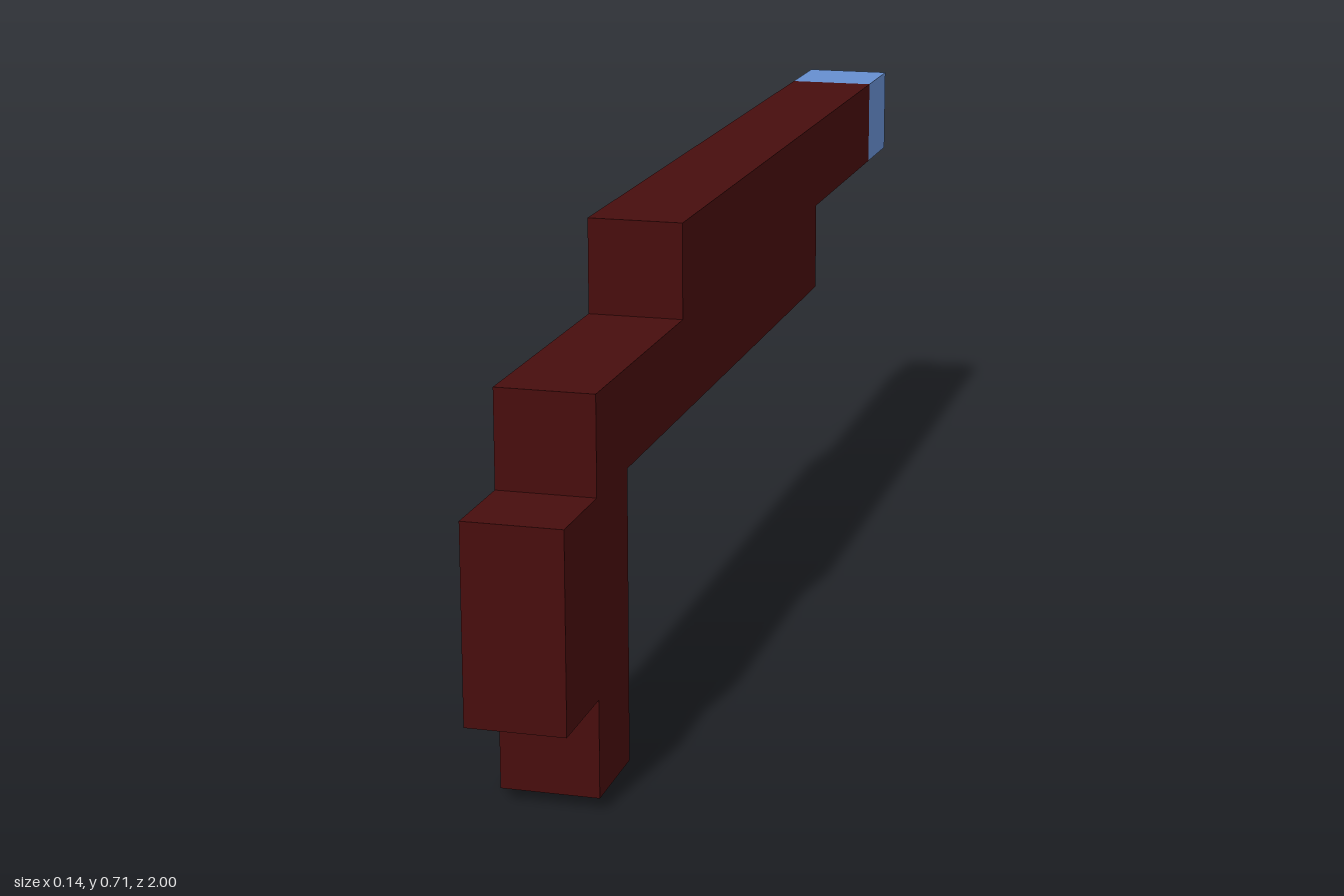
import * as THREE from 'three';

const U = 1 / 7; // one block

export function createModel() {
  const group = new THREE.Group();
  const darkRed = new THREE.MeshStandardMaterial({ color: 0x470d0d });
  darkRed.name = 'darkRed';
  const blue = new THREE.MeshStandardMaterial({ color: 0x668ecf });
  blue.name = 'blue';

  // Stepped body: side outline as [z, y] in blocks, one block thick
  const outline = [
    [5, 0], [6, 0], [6, 1], [7, 1], [7, 3], [6, 3], [6, 4], [3, 4], [3, 5],
    [-6, 5], [-6, 4], [-3, 4], [-3, 3], [5, 3],
  ];
  const shape = new THREE.Shape(outline.map(([z, y]) => new THREE.Vector2(z * U, y * U)));
  const bodyGeometry = new THREE.ExtrudeGeometry(shape, { depth: U, bevelEnabled: false });
  bodyGeometry.translate(0, 0, -U / 2).rotateY(-Math.PI / 2);
  const body = new THREE.Mesh(bodyGeometry, darkRed);
  body.name = 'steppedBody';
  group.add(body);

  // Blue block at the rear end
  const tip = new THREE.Mesh(new THREE.BoxGeometry(U, U, U), blue);
  tip.name = 'tip';
  tip.position.set(0, 4.5 * U, -6.5 * U);
  group.add(tip);

  return group;
}
